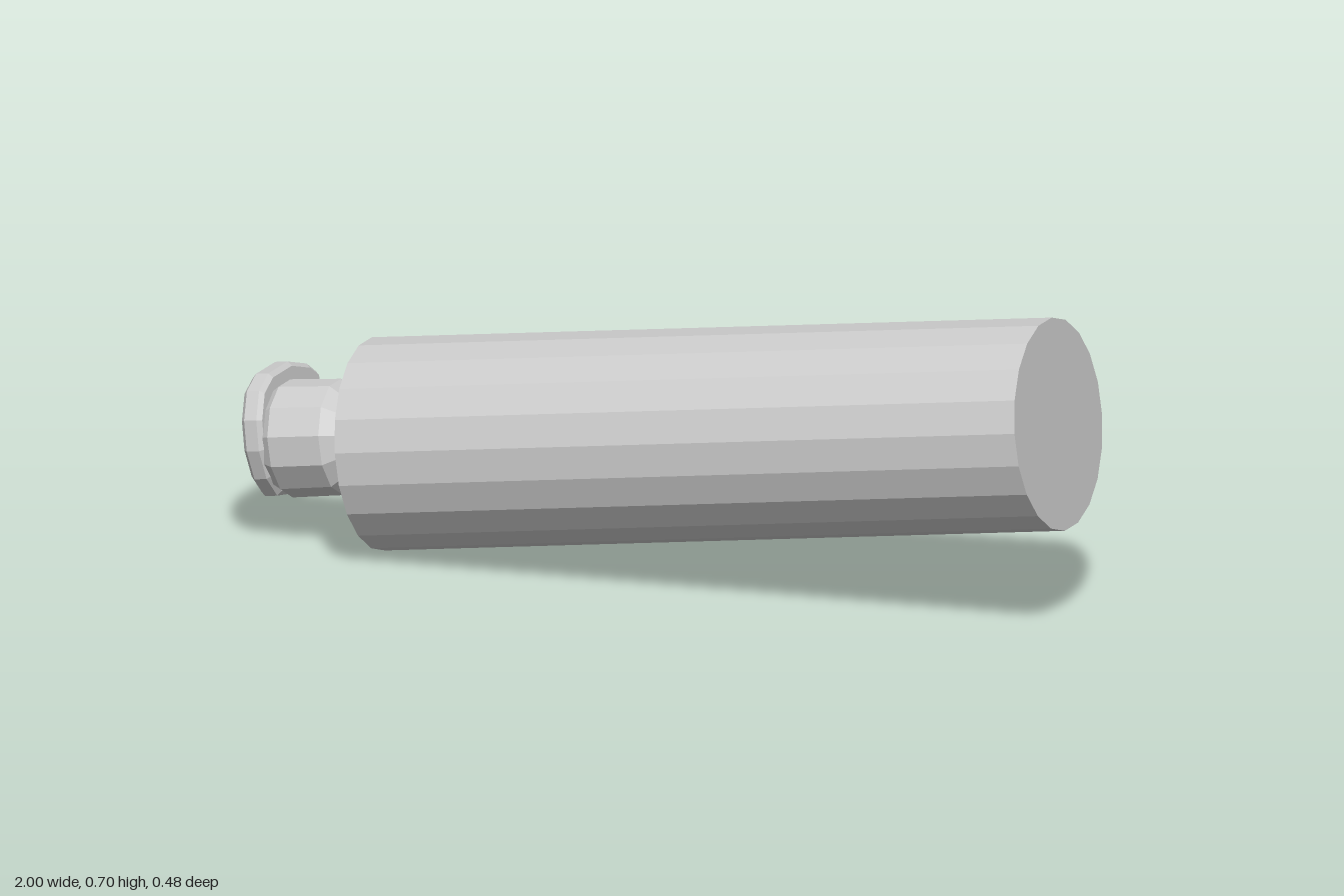
import * as THREE from 'three';

const material = new THREE.MeshStandardMaterial({ color: 0xcccccc, flatShading: true });

// Faceted solid of revolution along local x; profile is [radius, x] pairs from left to right
function turned(name, profile, sides) {
  const points = profile.map(([r, x]) => new THREE.Vector2(r, x));
  const geometry = new THREE.LatheGeometry(points, sides, Math.PI / sides, Math.PI * 2);
  geometry.rotateZ(-Math.PI / 2);
  const mesh = new THREE.Mesh(geometry, material);
  mesh.name = name;
  return mesh;
}

export function createModel() {
  const model = new THREE.Group();
  model.name = 'hookedCylinder';

  // Everything shares one tilted axis starting at the left end of the body
  const tilted = new THREE.Group();
  tilted.name = 'tiltedAssembly';
  tilted.position.set(-0.7, 0.2385, 0);
  tilted.rotation.z = 0.136;
  model.add(tilted);

  // Main body with a slightly raised left end
  tilted.add(turned('body', [
    [0, -0.03], [0.075, -0.03], [0.241, 0], [0.241, 1.68], [0, 1.68],
  ], 20));

  // Flared neck and plug
  const plug = turned('plug', [
    [0, -0.26], [0.118, -0.26], [0.118, -0.238], [0.133, -0.215],
    [0.131, -0.09], [0.075, -0.03], [0, -0.025],
  ], 12);
  plug.position.set(0, 0.017, -0.006);
  tilted.add(plug);

  // End plate: rounded on the front side, drawn out into a hook at the back
  const outline = [
    [0.08, 0.15], [0.115, 0.09], [0.122, 0.02], [0.1, -0.05], [0.055, -0.1], [-0.01, -0.112],
    [-0.07, -0.09], [-0.13, -0.03], [-0.215, 0.055], [-0.24, 0.085], [-0.235, 0.115],
    [-0.19, 0.145], [-0.09, 0.175], [0.02, 0.175],
  ].map(([z, y]) => new THREE.Vector2(z, y));
  const plate = new THREE.ExtrudeGeometry(new THREE.Shape(outline), {
    depth: 0.03, bevelEnabled: true, bevelThickness: 0.01, bevelSize: 0.01, bevelOffset: -0.01, bevelSegments: 1,
  });
  plate.rotateY(-Math.PI / 2);
  const hook = new THREE.Mesh(plate, material);
  hook.name = 'hookPlate';
  hook.position.x = -0.24;
  tilted.add(hook);

  return model;
}
